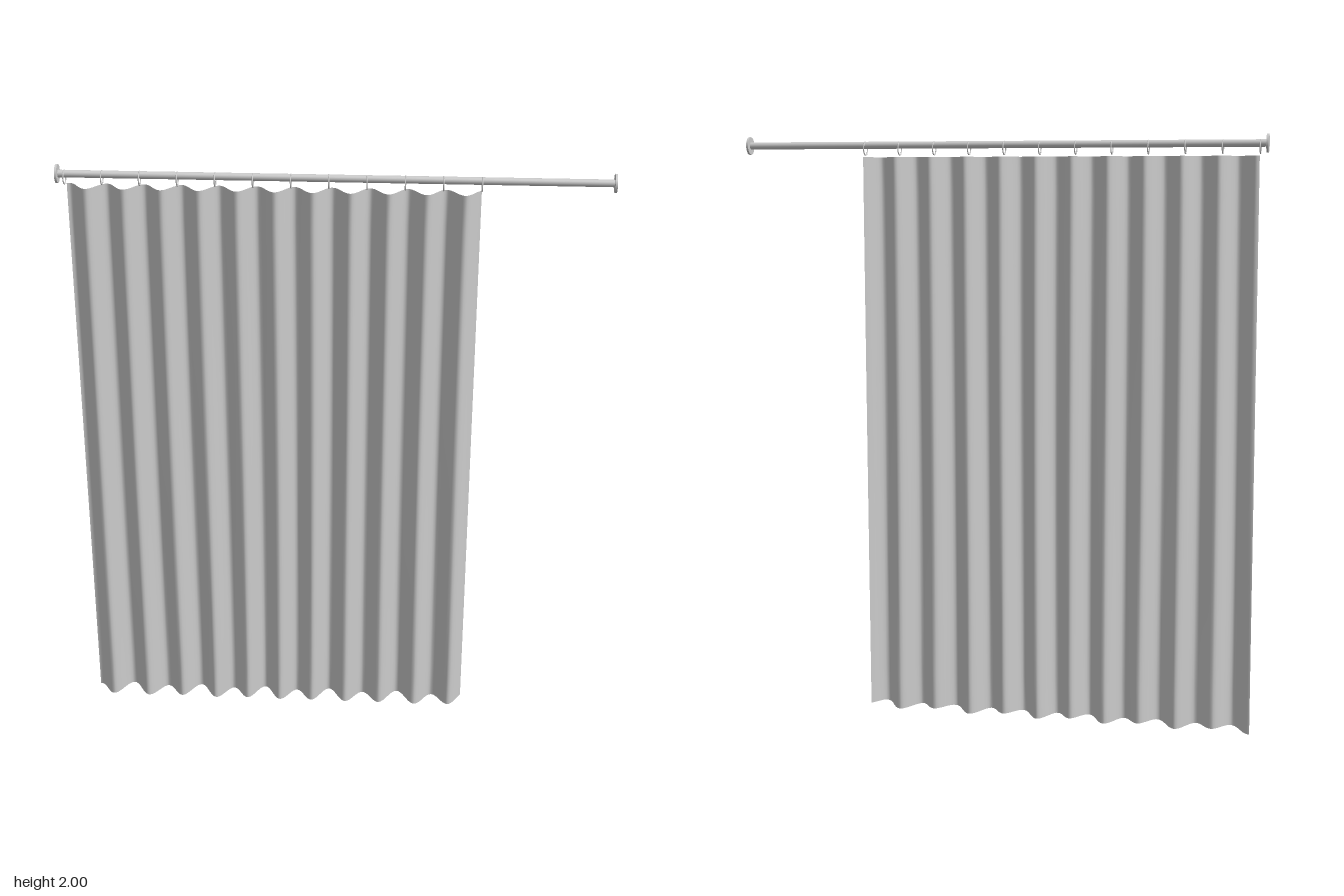
import * as THREE from 'three';

const mat = new THREE.MeshStandardMaterial({ color: 0xcccccc });
const clothMat = new THREE.MeshStandardMaterial({ color: 0xcccccc, side: THREE.DoubleSide });

const ROD_Y = 1.97;
const LEFT = -0.865, RIGHT = 0.47, FOLDS = 11;
const PITCH = (RIGHT - LEFT) / FOLDS;

// Cylinder lying along x
function bar(name, radius, length, x) {
  const geo = new THREE.CylinderGeometry(radius, radius, length, 20).rotateZ(Math.PI / 2);
  const mesh = new THREE.Mesh(geo, mat);
  mesh.name = name;
  mesh.position.set(x, ROD_Y, 0);
  return mesh;
}

// Pleated cloth: a flat sheet bent into folds that drift and deepen toward the hem
function createCurtain() {
  const geo = new THREE.PlaneGeometry(1, 1, FOLDS * 16, 16);
  const pos = geo.attributes.position;
  for (let i = 0; i < pos.count; i++) {
    const u = pos.getX(i) + 0.5;
    const drop = 0.5 - pos.getY(i);
    const x = LEFT + u * (RIGHT - LEFT) - 0.007 * drop;
    const hem = 0.009 - 0.005 * Math.cos(u * Math.PI * FOLDS);
    const drift = 0.35 * drop * Math.sin(u * 9 + drop * 2);
    const phase = u * FOLDS * Math.PI * 2 - 0.45 + drift;
    const depth = 0.031 + 0.004 * drop;
    pos.setXYZ(i, x, 1.93 + (hem - 1.93) * drop, -depth * Math.cos(phase));
  }
  geo.computeVertexNormals();
  const mesh = new THREE.Mesh(geo, clothMat);
  mesh.name = 'curtain';
  return mesh;
}

export function createModel() {
  const group = new THREE.Group();
  group.name = 'curtainOnRod';

  // Rod with a flat wall flange at each end
  group.add(bar('rod', 0.012, 1.776, 0));
  for (const side of [-1, 1]) {
    group.add(bar(side < 0 ? 'rightFlange' : 'leftFlange', 0.03, 0.007, side * 0.888));
  }

  // Rings threaded on the rod, one at each fold
  const ringGeo = new THREE.TorusGeometry(0.022, 0.002, 8, 24).rotateY(Math.PI / 2);
  const rings = new THREE.Group();
  rings.name = 'rings';
  for (let i = 0; i <= FOLDS; i++) {
    const ring = new THREE.Mesh(ringGeo, mat);
    ring.name = 'ring';
    ring.position.set(LEFT + i * PITCH, 1.959, 0);
    rings.add(ring);
  }
  group.add(rings, createCurtain());
  return group;
}
